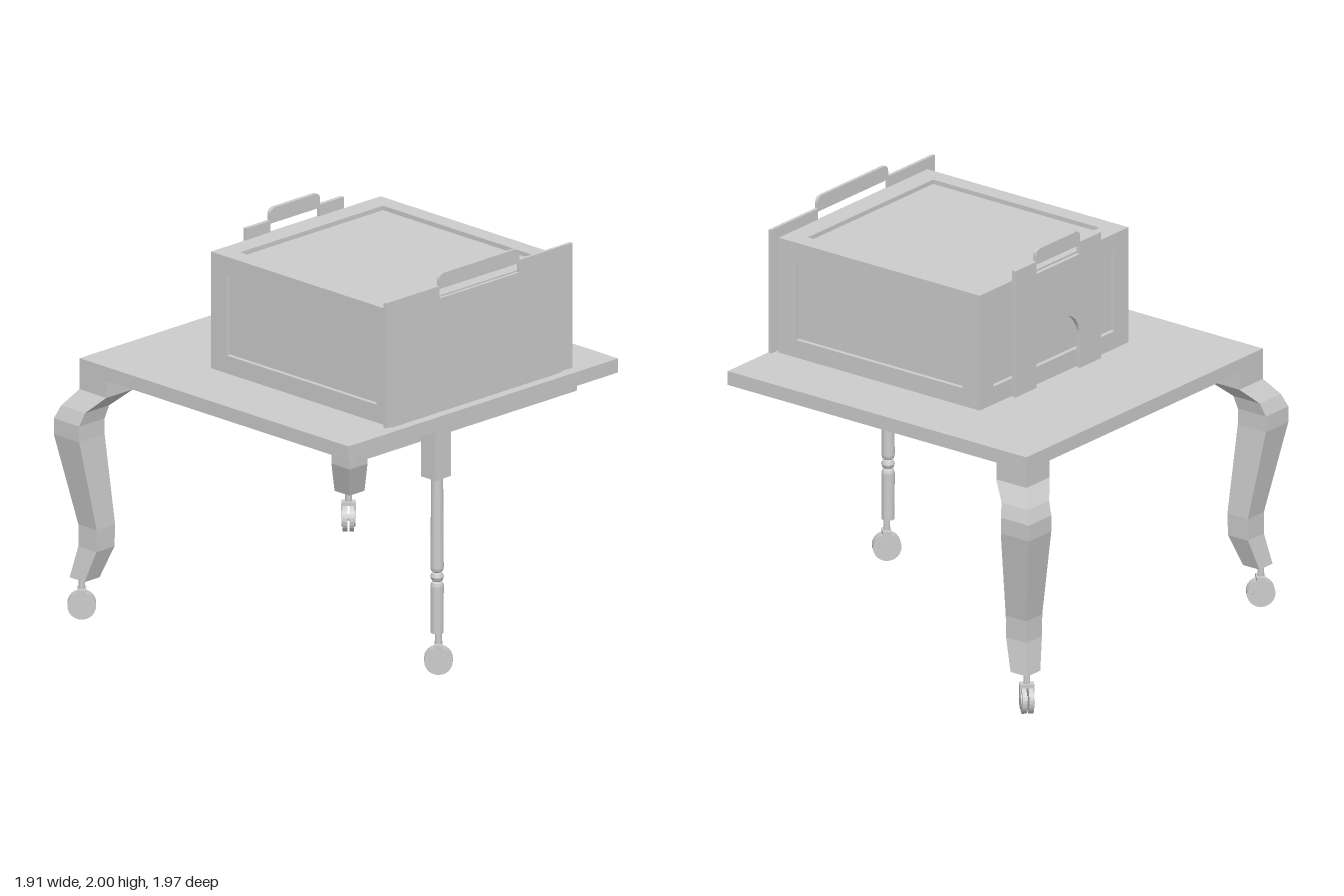
import * as THREE from 'three';

const mat = new THREE.MeshStandardMaterial({ color: 0xcccccc, flatShading: true });
const smooth = new THREE.MeshStandardMaterial({ color: 0xcccccc });

function add(parent, name, geo, m = mat) {
  const mesh = new THREE.Mesh(geo, m);
  mesh.name = name;
  parent.add(mesh);
  return mesh;
}

// box given by its limits
function block(parent, name, x0, x1, y0, y1, z0, z1) {
  const mesh = add(parent, name, new THREE.BoxGeometry(x1 - x0, y1 - y0, z1 - z0));
  mesh.position.set((x0 + x1) / 2, (y0 + y1) / 2, (z0 + z1) / 2);
  return mesh;
}

function rectPath(path, x0, x1, y0, y1) {
  path.moveTo(x0, y0);
  path.lineTo(x1, y0);
  path.lineTo(x1, y1);
  path.lineTo(x0, y1);
  path.closePath();
  return path;
}

// rectangular frame in the XY plane, thickness towards +z
function frameGeo(w, h, border, depth) {
  const s = rectPath(new THREE.Shape(), -w / 2, w / 2, -h / 2, h / 2);
  s.holes.push(rectPath(new THREE.Path(), -w / 2 + border, w / 2 - border, -h / 2 + border * 0.85, h / 2 - border * 0.85));
  return new THREE.ExtrudeGeometry(s, { depth, bevelEnabled: false });
}

// upright panel with a raised handle and slot, optionally with an arched doorway
function handlePanel(parent, name, x, thick, halfW, bottom, handle, arch) {
  const top = 1.94, r = 0.035;
  const s = new THREE.Shape();
  s.moveTo(-halfW, bottom);
  if (arch) {
    s.lineTo(-arch, bottom);
    s.lineTo(-arch, 1.47);
    s.absellipse(0, 1.47, arch, 0.14, Math.PI, 0, true);
    s.lineTo(arch, bottom);
  }
  s.lineTo(halfW, bottom);
  s.lineTo(halfW, top);
  s.lineTo(handle, top);
  s.lineTo(handle, 2 - r);
  s.quadraticCurveTo(handle, 2, handle - r, 2);
  s.lineTo(-handle + r, 2);
  s.quadraticCurveTo(-handle, 2, -handle, 2 - r);
  s.lineTo(-handle, top);
  s.lineTo(-halfW, top);
  s.closePath();
  s.holes.push(rectPath(new THREE.Path(), -handle + 0.002, handle - 0.002, 1.878, 1.925));
  const geo = new THREE.ExtrudeGeometry(s, { depth: thick, bevelEnabled: false, curveSegments: 10 });
  geo.rotateY(Math.PI / 2);
  add(parent, name, geo).position.x = x;
}

// curved leg: square sections [y, outer, inner] swept along the corner diagonal
function cabrioleGeo() {
  const rows = [
    [1.145, 0.875, 0.695], [1.065, 0.935, 0.775], [1.0, 0.96, 0.79], [0.92, 0.96, 0.79],
    [0.47, 0.878, 0.755], [0.36, 0.878, 0.757], [0.205, 0.907, 0.807],
  ];
  const pos = [], idx = [];
  for (const [y, o, i] of rows) {
    pos.push(-o, y, i + 0.027, -o, y, o + 0.027, -i, y, o + 0.027, -i, y, i + 0.027);
  }
  for (let r = 0; r < rows.length - 1; r++) {
    for (let k = 0; k < 4; k++) {
      const a = r * 4 + k, b = r * 4 + (k + 1) % 4;
      idx.push(a, a + 4, b, b, a + 4, b + 4);
    }
  }
  const e = (rows.length - 1) * 4;
  idx.push(0, 1, 2, 0, 2, 3, e, e + 2, e + 1, e, e + 3, e + 2);
  const g = new THREE.BufferGeometry();
  g.setAttribute('position', new THREE.Float32BufferAttribute(pos, 3));
  g.setIndex(idx);
  const flat = g.toNonIndexed();
  flat.computeVertexNormals();
  return flat;
}

// swivel caster, wheel axle along local x
function caster(parent, x, z, angle) {
  const c = new THREE.Group();
  c.name = 'caster';
  c.position.set(x, 0, z);
  c.rotation.y = angle;
  add(c, 'casterStem', new THREE.CylinderGeometry(0.016, 0.016, 0.075, 12)).position.y = 0.172;
  block(c, 'casterBridge', -0.034, 0.034, 0.132, 0.15, -0.022, 0.022);
  for (const s of [-1, 1]) {
    const wheel = add(c, 'casterWheel', new THREE.CylinderGeometry(0.068, 0.068, 0.022, 24));
    wheel.rotation.z = Math.PI / 2;
    wheel.position.set(s * 0.016, 0.068, 0);
    const hub = add(c, 'casterHub', new THREE.CylinderGeometry(0.044, 0.044, 0.006, 20));
    hub.rotation.z = Math.PI / 2;
    hub.position.set(s * 0.03, 0.068, 0);
    block(c, 'casterFork', s * 0.031 - 0.004, s * 0.031 + 0.004, 0.07, 0.14, -0.016, 0.016);
  }
  const axle = add(c, 'casterAxle', new THREE.CylinderGeometry(0.015, 0.015, 0.06, 10));
  axle.rotation.z = Math.PI / 2;
  axle.position.y = 0.068;
  parent.add(c);
}

export function createModel() {
  const model = new THREE.Group();
  model.name = 'tableWithCabinet';

  // table
  block(model, 'tableTop', -0.875, 0.925, 1.23, 1.3, -0.9, 0.9);
  block(model, 'apron', -0.69, 0.83, 1.16, 1.23, -0.72, 0.72);

  // pair of curved legs
  const legGeo = cabrioleGeo();
  for (const s of [1, -1]) {
    const leg = new THREE.Group();
    leg.name = s > 0 ? 'frontLeg' : 'backLeg';
    block(leg, 'legBlock', -0.875, -0.695, 1.145, 1.23, s * 0.811 - 0.089, s * 0.811 + 0.089);
    const curve = add(leg, 'curvedLeg', legGeo);
    if (s < 0) {
      // the pair mirrors across the diagonal: a quarter turn followed by a shift
      const g = legGeo.clone(), p = g.attributes.position;
      for (let i = 0; i < p.count; i += 3) {
        const tri = [0, 2, 1].map(k => [p.getX(i + k), p.getY(i + k), -p.getZ(i + k)]);
        tri.forEach((v, k) => p.setXYZ(i + k, ...v));
      }
      g.computeVertexNormals();
      curve.geometry = g;
    }
    caster(leg, -0.87, s * 0.89, -s * Math.PI / 4);
    model.add(leg);
  }

  // turned leg on the left side
  const turned = new THREE.Group();
  turned.name = 'turnedLeg';
  block(turned, 'turnedLegBlock', 0.83, 0.925, 0.985, 1.23, 0.217, 0.32);
  const profile = [
    [0, 0.205], [0.031, 0.205], [0.032, 0.44], [0.028, 0.455], [0.019, 0.462], [0.026, 0.467],
    [0.033, 0.485], [0.026, 0.503], [0.019, 0.508], [0.028, 0.515], [0.032, 0.53], [0.029, 0.985], [0, 0.985],
  ].map(([r, y]) => new THREE.Vector2(r, y));
  add(turned, 'turnedSpindle', new THREE.LatheGeometry(profile, 20)).position.set(0.881, 0, 0.265);
  caster(turned, 0.885, 0.26, -Math.PI / 4);
  model.add(turned);

  // cabinet: inset core with a framed recess on each face
  const cabinet = new THREE.Group();
  cabinet.name = 'cabinet';
  const [x0, x1, y0, y1, hz, d] = [-0.33, 0.882, 1.302, 1.885, 0.566, 0.022];
  const cx = (x0 + x1) / 2, cy = (y0 + y1) / 2;
  block(cabinet, 'cabinetCore', x0 + d, x1 - d, y0, y1 - d, -hz + d, hz - d);
  const w = x1 - x0, h = y1 - y0, b = 0.105;
  for (const s of [1, -1]) {
    const front = add(cabinet, s > 0 ? 'frontFrame' : 'backFrame', frameGeo(w, h, b, d));
    front.position.set(cx, cy, s * (hz - d));
    front.rotation.y = s > 0 ? 0 : Math.PI;
    const side = add(cabinet, s > 0 ? 'leftFrame' : 'rightFrame', frameGeo(2 * hz, h, b, d));
    side.position.set(s > 0 ? x1 - d : x0 + d, cy, 0);
    side.rotation.y = s * Math.PI / 2;
  }
  const lid = add(cabinet, 'topFrame', frameGeo(w, 2 * hz, b, d));
  lid.position.set(cx, y1 - d, 0);
  lid.rotation.x = -Math.PI / 2;
  model.add(cabinet);

  // end panels with handles
  handlePanel(model, 'largeEndPanel', 0.882, 0.016, 0.622, 1.315, 0.268, 0);
  handlePanel(model, 'doorPanel', -0.354, 0.02, 0.325, 1.3, 0.166, 0.165);
  return model;
}
